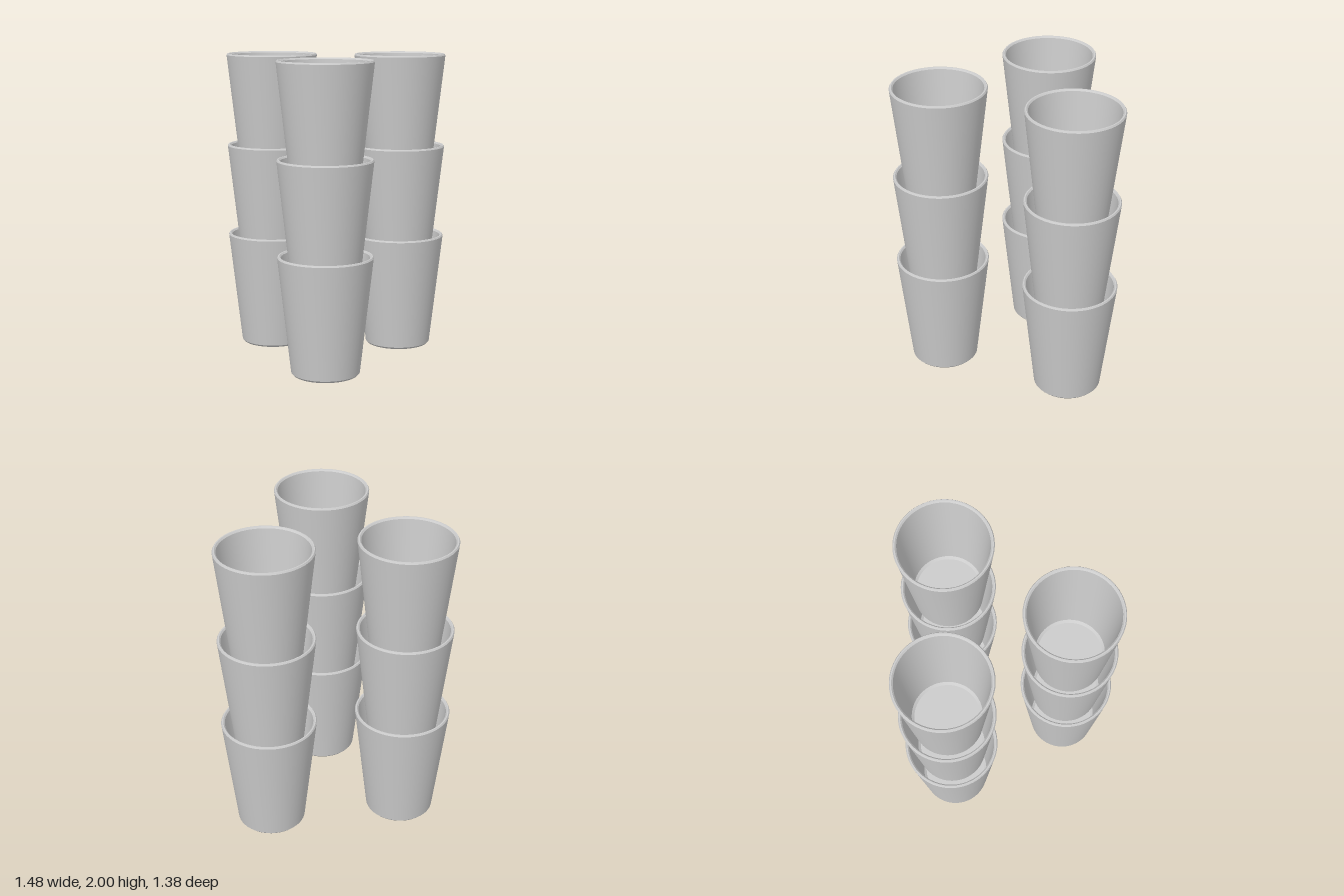
import * as THREE from 'three';
import { toCreasedNormals } from 'three/addons/utils/BufferGeometryUtils.js';

const CUP_HEIGHT = 0.77;
const STACK_STEP = 0.615;
const CUPS_PER_STACK = 3;

// Tapered cup: closed wall profile from the underside, over the rim, to the inner floor
function cupGeometry() {
  const profile = [
    [0, 0], [0.21, 0], [0.221, 0.012],              // base and its chamfer
    [0.306, CUP_HEIGHT - 0.01], [0.3, CUP_HEIGHT],  // outer wall and rim
    [0.292, CUP_HEIGHT], [0.283, CUP_HEIGHT - 0.01],
    [0.221, 0.135], [0.205, 0.12], [0, 0.12],       // inner wall and floor
  ].map(([r, y]) => new THREE.Vector2(r, y));
  return toCreasedNormals(new THREE.LatheGeometry(profile, 48), 0.45);
}

export function createModel() {
  const model = new THREE.Group();
  model.name = 'cupStacks';
  const material = new THREE.MeshStandardMaterial({ color: 0xcccccc });
  const geometry = cupGeometry();

  const stacks = [
    ['frontStack', -0.02, 0.384],
    ['backLeftStack', 0.433, -0.386],
    ['backRightStack', -0.433, -0.386],
  ];
  for (const [name, x, z] of stacks) {
    const stack = new THREE.Group();
    stack.name = name;
    stack.position.set(x, 0, z);
    // Each cup sits partly inside the one below
    for (let i = 0; i < CUPS_PER_STACK; i++) {
      const cup = new THREE.Mesh(geometry, material);
      cup.name = `cup${i + 1}`;
      cup.position.y = i * STACK_STEP;
      stack.add(cup);
    }
    model.add(stack);
  }
  return model;
}
